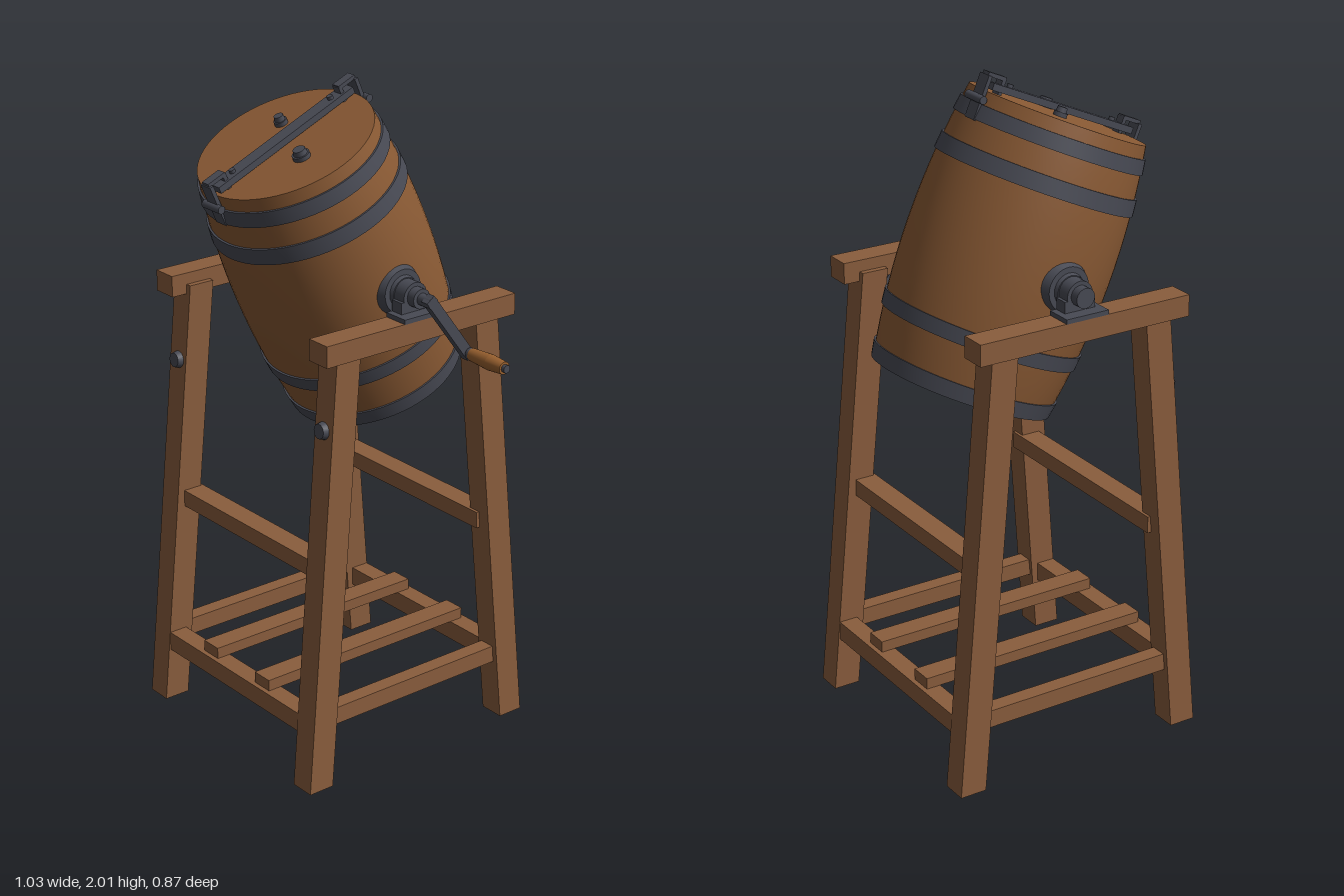
import * as THREE from 'three';
import { toCreasedNormals } from 'three/addons/utils/BufferGeometryUtils.js';

const flat = (name, color, side = THREE.FrontSide) => {
  const m = new THREE.MeshStandardMaterial({ color, side });
  m.name = name;
  return m;
};

export function createModel() {
  const frameWood = flat('frameWood', 0x8a5d3d);
  const barrelWood = flat('barrelWood', 0x8a5a34);
  const handleWood = flat('handleWood', 0x98602f);
  const iron = flat('iron', 0x484a54);

  const model = new THREE.Group();
  model.name = 'barrelChurn';
  const root = new THREE.Group();
  root.name = 'churnOnStand';
  root.position.set(-0.105, 0, -0.015);
  model.add(root);

  const add = (parent, name, geo, mat, x = 0, y = 0, z = 0) => {
    const mesh = new THREE.Mesh(geo, mat);
    mesh.name = name;
    mesh.position.set(x, y, z);
    parent.add(mesh);
    return mesh;
  };
  const box = (parent, name, mat, w, h, d, x, y, z) =>
    add(parent, name, new THREE.BoxGeometry(w, h, d), mat, x, y, z);
  // Cylinder lying along x, r0 at the -x end and r1 at the +x end
  const rod = (parent, name, mat, r0, r1, x0, x1, y, z, sides = 24) =>
    add(parent, name, new THREE.CylinderGeometry(r1, r0, x1 - x0, sides).rotateZ(-Math.PI / 2),
      mat, (x0 + x1) / 2, y, z);

  // ---- Stand ----
  const stand = new THREE.Group();
  stand.name = 'stand';
  root.add(stand);

  // Splayed leg: a box sheared outward toward the floor
  const legGeometry = (sx, sz) => {
    const g = new THREE.BoxGeometry(0.08, 1.36, 0.084).translate(0, 0.68, 0);
    const p = g.attributes.position;
    for (let i = 0; i < p.count; i++) {
      const y = p.getY(i);
      p.setX(i, p.getX(i) + sx * (0.37 - 0.0135 * y));
      p.setZ(i, p.getZ(i) + sz * (0.374 - 0.0887 * y));
    }
    g.computeVertexNormals();
    return g;
  };
  for (const sx of [-1, 1]) {
    const side = sx > 0 ? 'left' : 'right';
    for (const sz of [-1, 1]) {
      add(stand, side + (sz > 0 ? 'FrontLeg' : 'BackLeg'), legGeometry(sx, sz), frameWood);
    }
    box(stand, side + 'TopBeam', frameWood, 0.08, 0.065, 0.695, sx * 0.37, 1.363, 0);
    box(stand, side + 'LowerRail', frameWood, 0.05, 0.054, 0.66, sx * 0.365, 0.217, 0);
    box(stand, side + 'FloorSlat', frameWood, 0.07, 0.035, 0.76, sx * 0.13, 0.2475, 0);
    // Round bolt head on each front leg
    const bolt = add(stand, side + 'LegBolt', new THREE.CylinderGeometry(0.022, 0.028, 0.024, 20),
      iron, sx * 0.353, 1.12, 0.322);
    bolt.rotation.x = Math.PI / 2 - 0.088;
  }
  for (const sz of [-1, 1]) {
    const end = sz > 0 ? 'front' : 'back';
    box(stand, end + 'LowerRail', frameWood, 0.74, 0.06, 0.06, 0, 0.2, sz * 0.365);
    box(stand, end + 'UpperRail', frameWood, 0.72, 0.052, 0.07, 0, 0.675, sz * 0.296);
  }

  // ---- Barrel, tipped forward on its axle ----
  const barrel = new THREE.Group();
  barrel.name = 'barrel';
  barrel.position.set(0, 1.469, 0.008);
  barrel.rotation.x = 0.41;
  root.add(barrel);

  const H = 0.413;
  const radius = (y) => 0.303 - 0.037 * (y / H) ** 2;
  const profile = [];
  for (let i = 0; i <= 16; i++) {
    const y = -H + (2 * H * i) / 16;
    profile.push(new THREE.Vector2(radius(y), y));
  }
  add(barrel, 'staves', new THREE.LatheGeometry(profile, 64), barrelWood);
  add(barrel, 'lid', new THREE.CircleGeometry(radius(H), 64).rotateX(-Math.PI / 2), barrelWood, 0, H, 0);
  add(barrel, 'barrelBottom', new THREE.CircleGeometry(radius(H), 64).rotateX(Math.PI / 2), barrelWood, 0, -H, 0);

  // Iron hoops following the belly
  for (const [y0, y1] of [[0.33, 0.375], [0.21, 0.26], [-0.26, -0.215], [-H - 0.002, -0.367]]) {
    const t = 0.006;
    const pts = [[radius(y0) - t, y0], [radius(y0) + t, y0], [radius(y1) + t, y1], [radius(y1) - t, y1]]
      .map(([r, y]) => new THREE.Vector2(r, y));
    add(barrel, 'hoop', toCreasedNormals(new THREE.LatheGeometry(pts, 64), 0.6), iron);
  }

  // Clamp bar over the lid with a bent clip at each end
  box(barrel, 'clampBar', iron, 0.045, 0.02, 0.52, 0, H + 0.018, 0);
  for (const s of [-1, 1]) {
    const clip = new THREE.Group();
    clip.name = s > 0 ? 'frontClip' : 'backClip';
    barrel.add(clip);
    box(clip, 'clipStrap', iron, 0.046, 0.13, 0.012, 0, 0.392, s * 0.28);
    box(clip, 'clipTop', iron, 0.03, 0.012, 0.062, 0, 0.46, s * 0.252);
    box(clip, 'clipInnerLeg', iron, 0.03, 0.05, 0.012, 0, 0.437, s * 0.225);
    rod(clip, 'clipPin', iron, 0.012, 0.012, -0.04, 0.04, 0.388, s * 0.288, 12);
    add(clip, 'barStud', new THREE.CylinderGeometry(0.009, 0.009, 0.012, 12), iron, 0, H + 0.032, s * 0.19);
  }

  // Lid fittings
  for (const [name, x, z, r] of [['vent', -0.095, -0.064, 0.02], ['sightGlass', 0.11, 0.028, 0.026]]) {
    add(barrel, name + 'Base', new THREE.CylinderGeometry(r, r, 0.014, 20), iron, x, H + 0.006, z);
    add(barrel, name + 'Cap', new THREE.CylinderGeometry(r * 0.7, r * 0.8, 0.016, 16), iron, x, H + 0.02, z);
  }

  // ---- Axle bearings ----
  const axleY = 1.453;
  for (const s of [-1, 1]) {
    const bearing = new THREE.Group();
    bearing.name = s > 0 ? 'leftBearing' : 'rightBearing';
    bearing.position.set(0, axleY, 0);
    if (s < 0) bearing.rotation.y = Math.PI;
    root.add(bearing);
    rod(bearing, 'barrelFlange', iron, 0.08, 0.066, 0.285, 0.318, 0, 0, 32);
    rod(bearing, 'flangeCollar', iron, 0.05, 0.045, 0.315, 0.33, 0, 0);
    rod(bearing, 'axle', iron, 0.022, 0.022, 0.3, 0.4, 0, 0, 16);
    rod(bearing, 'bearingRing', iron, 0.042, 0.042, 0.33, 0.372, 0, 0);
    rod(bearing, 'axleCollar', iron, 0.03, 0.03, 0.372, 0.4, 0, 0);
    box(bearing, 'bearingFoot', iron, 0.042, 0.04, 0.1, 0.351, -0.03, 0);
    box(bearing, 'bearingPlate', iron, 0.083, 0.014, 0.14, 0.37, -0.051, 0);
  }

  // ---- Crank on the left ----
  const crank = new THREE.Group();
  crank.name = 'crank';
  crank.position.set(0, axleY, 0);
  root.add(crank);
  const dy = -0.18, dz = -0.135;
  rod(crank, 'crankShaft', iron, 0.018, 0.018, 0.39, 0.45, 0, 0, 16);
  const arm = box(crank, 'crankArm', iron, 0.026, Math.hypot(dy, dz) + 0.035, 0.032, 0.438, dy / 2, dz / 2);
  arm.rotation.x = Math.atan2(dz, dy) - Math.PI;
  rod(crank, 'handlePin', iron, 0.012, 0.012, 0.44, 0.614, dy, dz, 16);
  rod(crank, 'handleFerrule', iron, 0.018, 0.018, 0.455, 0.468, dy, dz, 16);
  rod(crank, 'handleGrip', handleWood, 0.019, 0.024, 0.466, 0.545, dy, dz);
  rod(crank, 'handleGripEnd', handleWood, 0.024, 0.019, 0.545, 0.603, dy, dz);

  return model;
}
